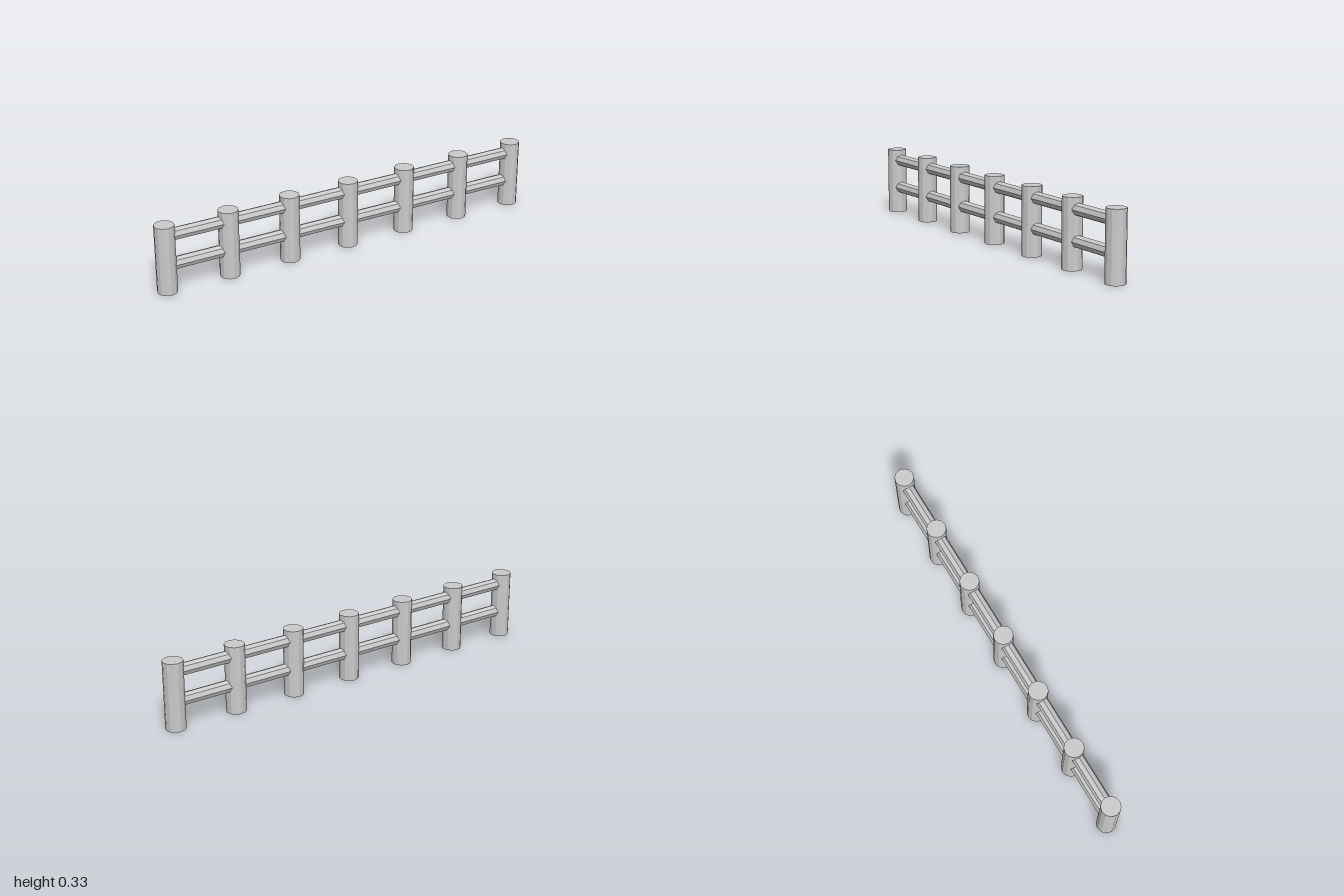
import * as THREE from 'three';

const POSTS = 7, POST_R = 0.0477, HEIGHT = 0.333, RAIL_R = 0.03;
const SPACING = (2 - 2 * POST_R) / (POSTS - 1);

export function createModel() {
  const group = new THREE.Group();
  const material = new THREE.MeshStandardMaterial({ color: 0xcccccc, flatShading: true });

  // Upright posts
  const postGeometry = new THREE.CylinderGeometry(POST_R, POST_R, HEIGHT, 12);
  for (let i = 0; i < POSTS; i++) {
    const post = new THREE.Mesh(postGeometry, material);
    post.name = `post${i + 1}`;
    post.position.set((i - (POSTS - 1) / 2) * SPACING, HEIGHT / 2, 0);
    group.add(post);
  }

  // Two rails running through all the posts, ending inside the outer ones
  const railGeometry = new THREE.CylinderGeometry(RAIL_R, RAIL_R, SPACING * (POSTS - 1), 8);
  railGeometry.rotateZ(Math.PI / 2);
  for (const [name, y] of [['lowerRail', 0.133], ['upperRail', 0.278]]) {
    const rail = new THREE.Mesh(railGeometry, material);
    rail.name = name;
    rail.position.y = y;
    group.add(rail);
  }
  return group;
}
